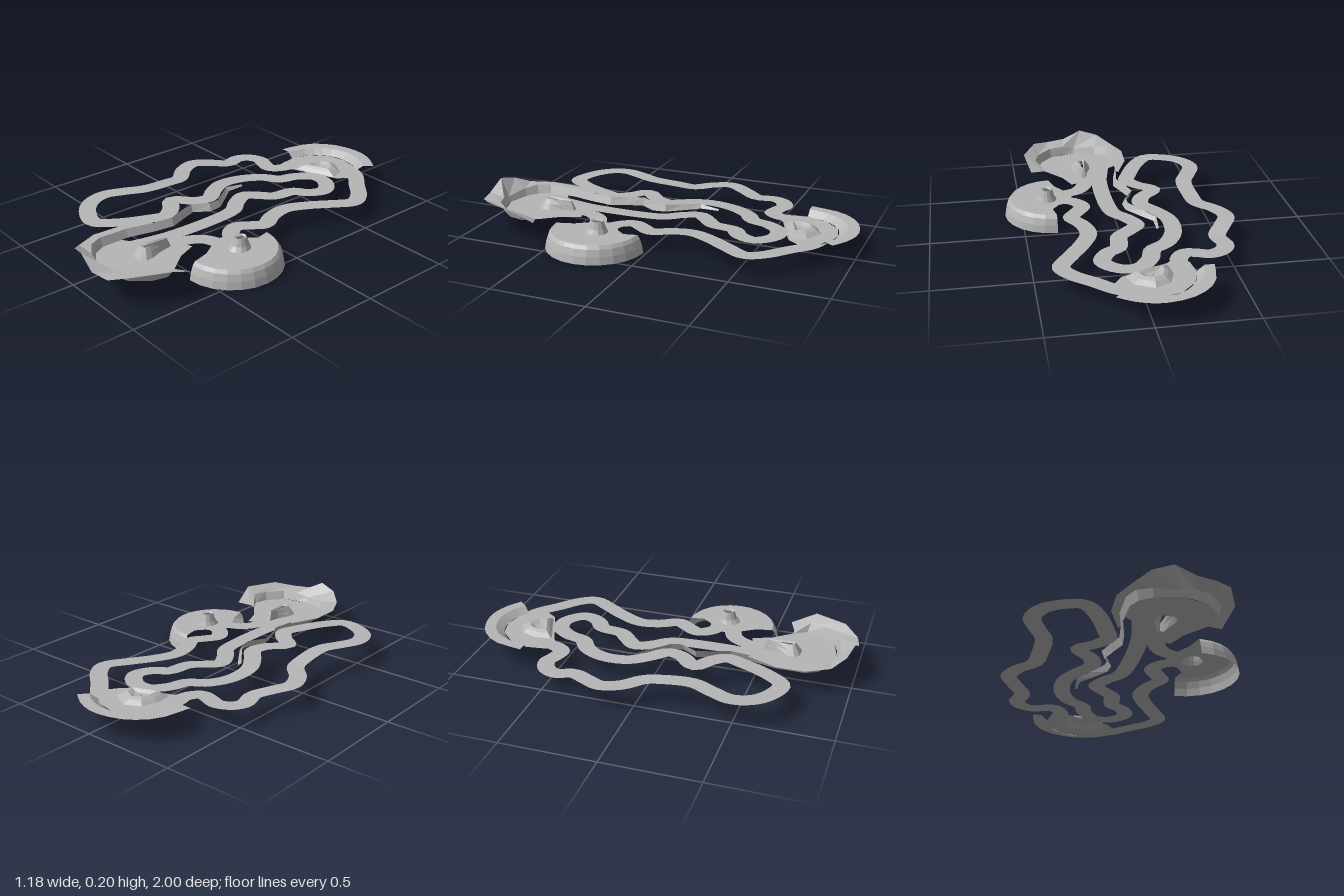
import * as THREE from 'three';

const grey = new THREE.MeshStandardMaterial({ color: 0xb6b6b6, side: THREE.DoubleSide, flatShading: true });
grey.name = 'light grey';
const BASE = 0.093;

export function createModel() {
  const model = new THREE.Group();

  const add = (name, geometry) => {
    const mesh = new THREE.Mesh(geometry, grey);
    mesh.name = name;
    model.add(mesh);
  };

  // Surface through rows of [x, y, z] points; later rows lie to the right of the travel direction
  const loft = (rows, closed = false) => {
    const n = rows[0].length, index = [];
    for (let r = 0; r < rows.length - 1; r++) {
      for (let i = 0; i < (closed ? n : n - 1); i++) {
        const j = (i + 1) % n, a = r * n + i, b = r * n + j, c = a + n, d = b + n;
        index.push(a, b, c, b, d, c);
      }
    }
    const g = new THREE.BufferGeometry();
    g.setAttribute('position', new THREE.Float32BufferAttribute(rows.flat(2), 3));
    g.setIndex(index);
    // Put the front faces on the upper side
    g.computeVertexNormals();
    let up = 0;
    for (let i = 0; i < g.attributes.normal.count; i++) up += g.attributes.normal.getY(i);
    if (up < 0) {
      g.setIndex(index.map((v, i) => index[i - (i % 3) + [0, 2, 1][i % 3]]));
      g.computeVertexNormals();
    }
    return g;
  };

  // Level ground patch from an [x, z] outline
  const patch = (outline, hole) => {
    const flip = ([x, z]) => new THREE.Vector2(x, -z);
    const shape = new THREE.Shape(outline.map(flip));
    if (hole) shape.holes.push(new THREE.Path(hole.map(flip)));
    return new THREE.ShapeGeometry(shape).rotateX(-Math.PI / 2).translate(0, BASE, 0);
  };

  // Road of constant width along [x, z, y] points
  const road = (pts, width = 0.09) => {
    const curve = new THREE.CatmullRomCurve3(pts.map(([x, z, y = BASE]) => new THREE.Vector3(x, y, z)));
    const left = [], right = [], n = pts.length * 4;
    for (let i = 0; i <= n; i++) {
      const p = curve.getPoint(i / n), t = curve.getTangent(i / n);
      const l = Math.hypot(t.x, t.z), dx = -t.z / l * width / 2, dz = t.x / l * width / 2;
      left.push([p.x - dx, p.y, p.z - dz]);
      right.push([p.x + dx, p.y, p.z + dz]);
    }
    return loft([left, right]);
  };

  const ring = (x, z, rx, rz, n = 12) => Array.from({ length: n }, (_, i) => {
    const a = i / n * Math.PI * 2;
    return [x + rx * Math.cos(a), z + rz * Math.sin(a)];
  });
  const at = (pts, y) => pts.map(([x, z]) => [x, y, z]);

  // Winding road in three stretches
  add('outerRoad', road([
    [-0.205, -0.64], [-0.205, -0.55], [-0.25, -0.49], [-0.31, -0.5], [-0.37, -0.52], [-0.44, -0.49], [-0.47, -0.43],
    [-0.45, -0.34, 0.097], [-0.5, -0.25, 0.108], [-0.545, -0.16, 0.115], [-0.51, -0.06, 0.115], [-0.43, 0.03, 0.117],
    [-0.415, 0.12, 0.126], [-0.415, 0.28, 0.135], [-0.46, 0.38, 0.135], [-0.5, 0.49, 0.133], [-0.47, 0.59, 0.13],
    [-0.39, 0.66, 0.126], [-0.28, 0.69, 0.123], [-0.2, 0.6, 0.123], [-0.13, 0.45, 0.123], [-0.105, 0.37, 0.123],
    [-0.15, 0.3, 0.122], [-0.23, 0.23, 0.121], [-0.15, 0.14, 0.119], [-0.13, 0.06, 0.117], [-0.19, -0.02, 0.111],
    [-0.245, -0.12, 0.104], [-0.24, -0.26, 0.096], [-0.18, -0.37], [-0.1, -0.43], [-0.07, -0.52], [0, -0.6],
    [0.09, -0.6], [0.165, -0.52], [0.13, -0.43], [0.065, -0.38], [0.04, -0.26], [-0.02, -0.2], [-0.07, -0.14],
    [-0.03, -0.05], [0.025, 0.02], [0.045, 0.15], [0.04, 0.45], [0.02, 0.56], [0, 0.65],
  ]));
  add('connectingRoad', road([[0.125, 0.55], [0.13, 0.42], [0.18, 0.34], [0.25, 0.31], [0.29, 0.3]]));
  add('innerRoad', road([
    [0.29, 0.23], [0.22, 0.2], [0.18, 0.13], [0.22, 0.06], [0.255, 0], [0.21, -0.09], [0.19, -0.2], [0.24, -0.32],
    [0.31, -0.43], [0.37, -0.54], [0.33, -0.62], [0.23, -0.71], [0.13, -0.8], [0.04, -0.83],
  ]));

  // Raised plateau with a hollow cone and a curved skirt
  const arc = (r, y) => Array.from({ length: 13 }, (_, i) => {
    const a = -Math.PI / 2 + i / 12 * Math.PI;
    return [0.325 + r * Math.cos(a), y, 0.28 + r * Math.sin(a)];
  });
  const coneBase = ring(0.36, 0.26, 0.055, 0.06);
  add('plateauTop', patch([
    ...arc(0.232, 0).map(([x, , z]) => [x, z]),
    [0.3, 0.42], [0.25, 0.345], [0.22, 0.27], [0.23, 0.19], [0.3, 0.17], [0.34, 0.12],
  ], coneBase));
  add('plateauSkirt', loft([arc(0.232, BASE), arc(0.246, 0.075), arc(0.258, 0.04), arc(0.265, 0)]));
  add('plateauCone', loft([
    at(coneBase, BASE), at(ring(0.36, 0.255, 0.042, 0.046), 0.115),
    at(ring(0.36, 0.255, 0.03, 0.032), 0.155), at(ring(0.36, 0.255, 0.016, 0.024), 0.148),
  ], true));

  // Front bowl with a teardrop mound
  const tear = (s, tipZ) => [
    [0.118 - 0.012 * s, tipZ], [0.118 - 0.025 * s, 0.58], [0.118 - 0.05 * s, 0.645], [0.118 - 0.053 * s, 0.655 + 0.03 * s],
    [0.118 - 0.03 * s, 0.655 + 0.055 * s], [0.118 + 0.03 * s, 0.655 + 0.055 * s], [0.118 + 0.053 * s, 0.655 + 0.03 * s],
    [0.118 + 0.05 * s, 0.645], [0.118 + 0.025 * s, 0.58], [0.118 + 0.012 * s, tipZ],
  ];
  add('frontBowlFloor', patch([
    [0.085, 0.45], [0.0, 0.45], [-0.02, 0.62], [-0.08, 0.66], [-0.08, 0.77], [-0.05, 0.83], [0.01, 0.87], [0.13, 0.9],
    [0.27, 0.86], [0.34, 0.78], [0.36, 0.7], [0.32, 0.63], [0.24, 0.53], [0.2, 0.43], [0.14, 0.45], [0.15, 0.505],
    ...tear(1, 0.51).reverse(),
  ]));
  add('frontMound', loft([
    at(tear(1, 0.51), BASE), at(tear(0.7, 0.52), 0.12), at(tear(0.4, 0.53), 0.145), at(tear(0.15, 0.56), 0.138),
  ], true));

  // Bank wall beside the road, round the front bowl: foot x, z, top x, z, y
  const bank = [
    [-0.165, -0.21, -0.175, -0.21, 0.1], [-0.165, -0.11, -0.183, -0.105, 0.112], [-0.11, -0.04, -0.125, -0.03, 0.12],
    [-0.045, 0.05, -0.06, 0.055, 0.13], [-0.038, 0.12, -0.055, 0.115, 0.134], [-0.09, 0.2, -0.105, 0.2, 0.135],
    [-0.06, 0.29, -0.077, 0.295, 0.135], [-0.03, 0.37, -0.047, 0.37, 0.135], [-0.045, 0.48, -0.062, 0.48, 0.135],
    [-0.08, 0.62, -0.097, 0.62, 0.135], [-0.08, 0.77, -0.098, 0.775, 0.138], [-0.05, 0.83, -0.065, 0.845, 0.14],
    [0.01, 0.87, 0.005, 0.888, 0.132], [0.13, 0.9, 0.13, 0.915, 0.122], [0.2, 0.885, 0.205, 0.9, 0.138],
    [0.27, 0.86, 0.28, 0.875, 0.14], [0.34, 0.78, 0.355, 0.79, 0.14], [0.36, 0.7, 0.38, 0.71, 0.138],
    [0.32, 0.63, 0.34, 0.63, 0.1],
  ];
  const bankTop = bank.map(([, , x, z, y]) => [x, y, z]);
  add('bankWall', loft([bank.map(([x, z]) => [x, BASE, z]), bankTop]));
  const frontRim = [
    [-0.075, 0.47, 0.135], [-0.14, 0.63, 0.135], [-0.145, 0.78, 0.138], [-0.09, 0.9, 0.145], [-0.02, 0.965, 0.18],
    [0.08, 0.99, 0.205], [0.18, 1, 0.152], [0.28, 0.98, 0.146], [0.37, 0.9, 0.17], [0.445, 0.73, 0.17], [0.415, 0.6, 0.11],
  ];
  add('frontFlange', loft([bankTop.slice(8), frontRim.map(([x, z, y]) => [x, y, z])]));

  // Rear bowl with a low hill
  const hill = [
    [0.08, -0.68], [0.055, -0.76], [-0.04, -0.81], [-0.12, -0.77], [-0.15, -0.69], [-0.14, -0.6], [-0.08, -0.615], [0, -0.65],
  ];
  const hillAt = (s) => hill.map(([x, z]) => [-0.05 + (x + 0.05) * s, -0.7 + (z + 0.7) * s]);
  add('rearBowlFloor', patch([
    [-0.25, -0.58], [-0.265, -0.69], [-0.23, -0.79], [-0.15, -0.87], [-0.05, -0.895], [0.05, -0.875], [0.1, -0.84],
    [0.15, -0.75], [0.1, -0.68], [0, -0.635], [-0.14, -0.58], [-0.16, -0.56],
  ], hill));
  add('rearHill', loft([
    at(hill, BASE), at(hillAt(0.75), 0.112), at(hillAt(0.55), 0.122), at(hillAt(0.3), 0.108), at(hillAt(0.02), 0.105),
  ], true));

  // Rear bowl wall and level flange
  const rearFoot = [[-0.265, -0.68], [-0.23, -0.79], [-0.15, -0.87], [-0.05, -0.895], [0.05, -0.875], [0.1, -0.84]];
  const rearTop = [[-0.3, -0.68], [-0.26, -0.81], [-0.175, -0.905], [-0.05, -0.94], [0.06, -0.915], [0.125, -0.87]];
  const rearRim = [[-0.35, -0.68], [-0.31, -0.85], [-0.2, -0.96], [-0.05, -1], [0.07, -0.975], [0.165, -0.915]];
  const smooth = (pts, y) => new THREE.SplineCurve(pts.map((p) => new THREE.Vector2(...p)))
    .getPoints(12).map((p) => [p.x, y, p.y]);
  add('rearWall', loft([smooth(rearFoot, BASE), smooth(rearTop, 0.123)]));
  add('rearFlange', loft([smooth(rearTop, 0.123), smooth(rearRim, 0.124)]));

  return model;
}
